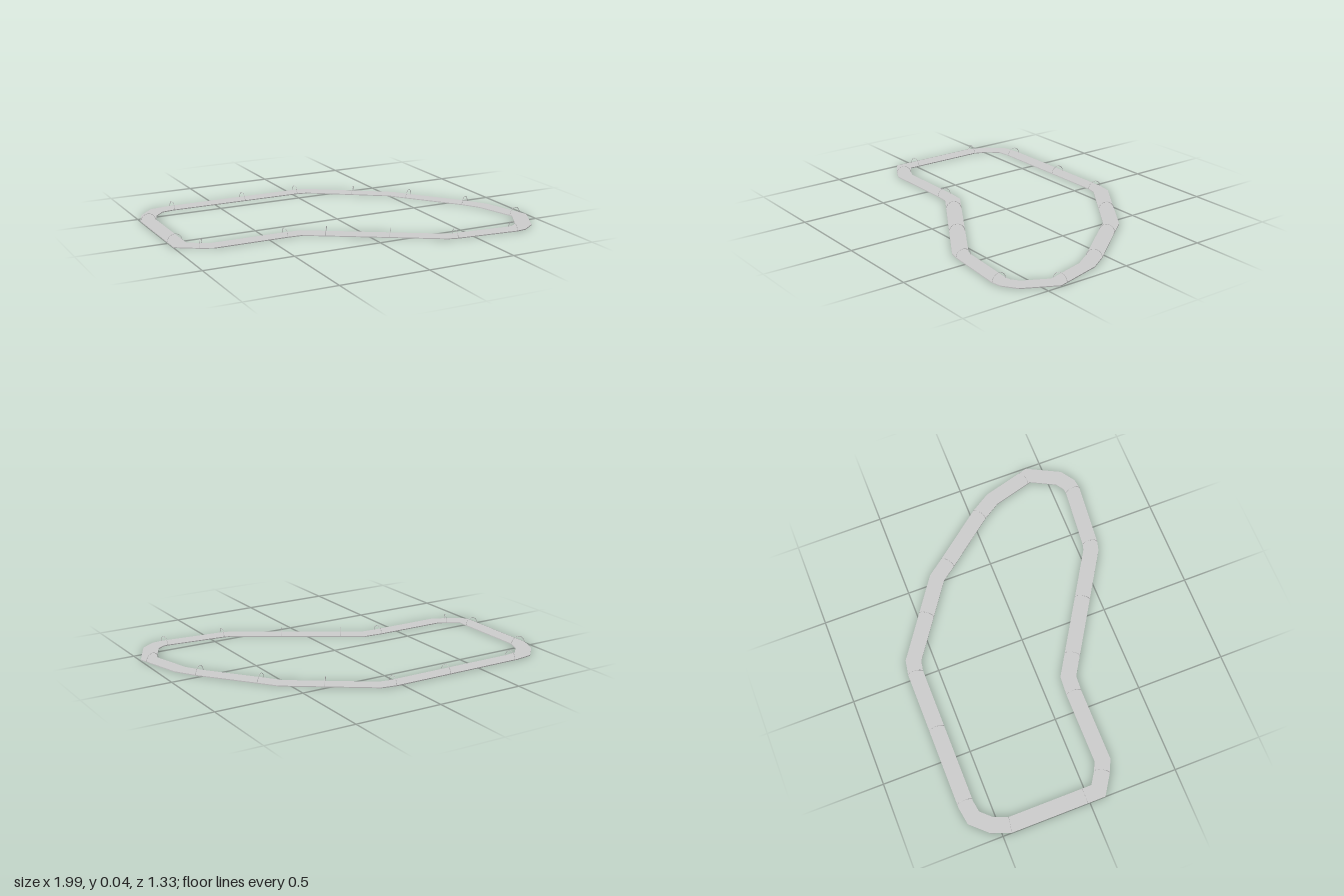
import * as THREE from 'three';

const HALF = 0.043; // half the track width, also the hoop radius
const THICK = 0.005;

// Centreline of the closed circuit as [x, z]
const line = [
  [-0.767, -0.625], [0.032, -0.625], [0.104, -0.612], [0.527, -0.318], [0.596, -0.227],
  [0.815, 0.051], [0.88, 0.155], [0.949, 0.409], [0.866, 0.57], [0.805, 0.612],
  [0.762, 0.618], [0.412, 0.583], [0.369, 0.572], [-0.297, 0.16], [-0.393, 0.153],
  [-0.807, 0.153], [-0.866, 0.126], [-0.957, 0.067], [-0.957, -0.444],
  [-0.922, -0.535], [-0.85, -0.612],
].map(([x, z]) => new THREE.Vector2(x, z));

// Hoop stations: segment index plus fraction along that segment
const stations = [0.02, 0.57, 1, 2.55, 4, 5, 6.88, 10, 11, 12.39, 12.83, 14, 16, 17.16, 18];

const at = (i) => line[(i + line.length) % line.length];
const direction = (i) => at(i + 1).clone().sub(at(i)).normalize();
const normal = (d) => new THREE.Vector2(d.y, -d.x);

// Mitred offset of the centreline
function offset(distance) {
  return line.map((p, i) => {
    const n = normal(direction(i));
    const mitre = normal(direction(i - 1)).add(n).normalize();
    return p.clone().addScaledVector(mitre, distance / mitre.dot(n));
  });
}

export function createModel() {
  const group = new THREE.Group();
  group.name = 'circuit';
  const material = new THREE.MeshStandardMaterial({ color: 0xcccccc, side: THREE.DoubleSide });

  // Flat ring-shaped track
  const shape = new THREE.Shape(offset(HALF));
  shape.holes.push(new THREE.Path(offset(-HALF)));
  const trackGeometry = new THREE.ExtrudeGeometry(shape, { depth: THICK, bevelEnabled: false });
  trackGeometry.rotateX(Math.PI / 2).translate(0, THICK, 0);
  const track = new THREE.Mesh(trackGeometry, material);
  track.name = 'track';
  group.add(track);

  // Thin half-round hoops standing across the track
  const wire = 0.0015;
  const hoopGeometry = new THREE.TorusGeometry(HALF - wire, wire, 6, 24, Math.PI);
  stations.forEach((s, k) => {
    const i = Math.floor(s);
    const t = s - i;
    const p = at(i).clone().lerp(at(i + 1), t);
    const d = direction(i);
    if (t === 0) d.add(direction(i - 1)).normalize();
    const hoop = new THREE.Mesh(hoopGeometry, material);
    hoop.name = `hoop${k + 1}`;
    hoop.position.set(p.x, 0.0015, p.y);
    hoop.rotation.y = Math.atan2(d.x, d.y);
    group.add(hoop);
  });

  return group;
}
